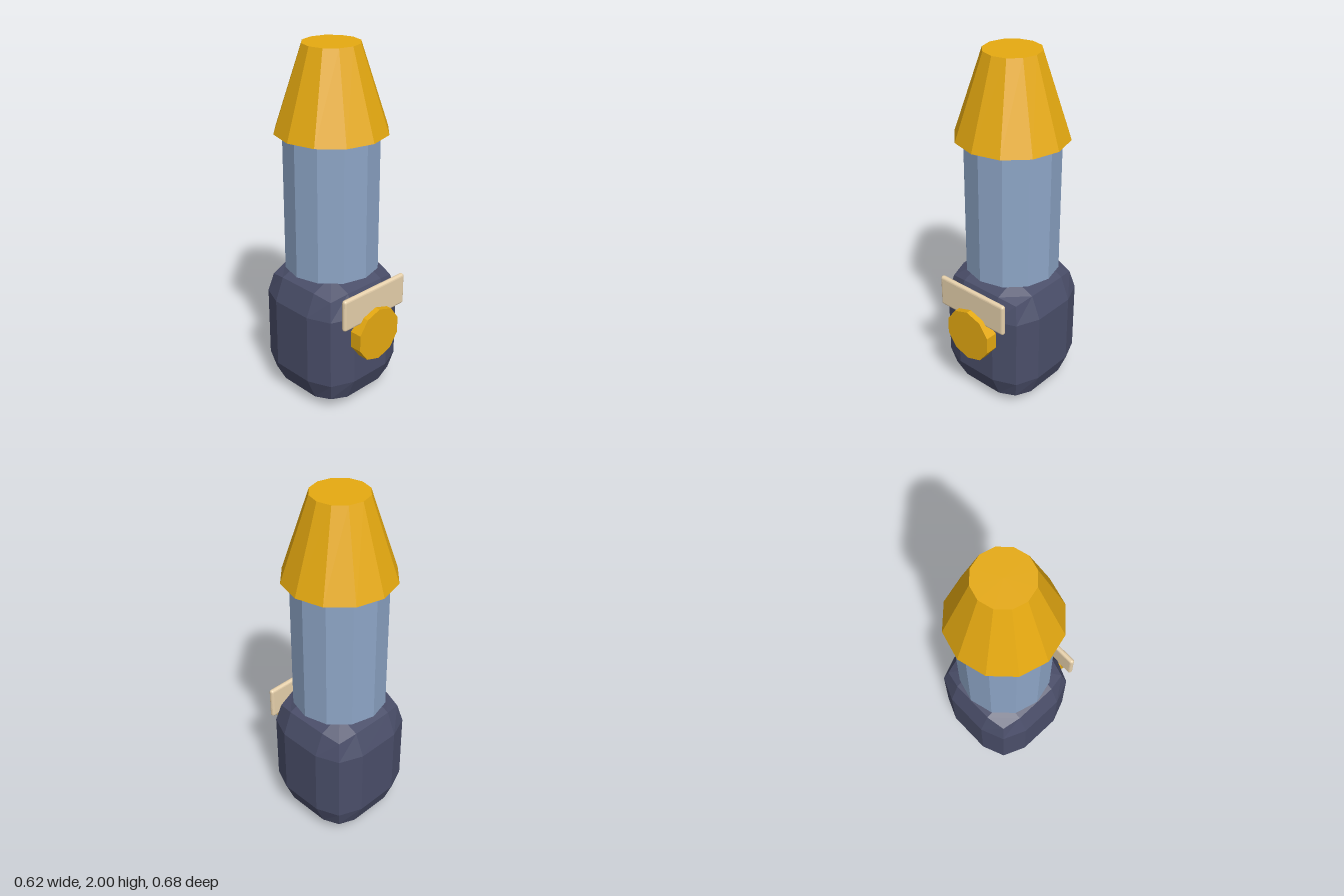
import * as THREE from 'three';
import { RoundedBoxGeometry } from 'three/addons/geometries/RoundedBoxGeometry.js';

const material = (name, color) => {
  const m = new THREE.MeshStandardMaterial({ color, flatShading: true });
  m.name = name;
  return m;
};

export function createModel() {
  const group = new THREE.Group();
  const navy = material('navy', 0x4a4e69);
  const steel = material('steel blue', 0x8da5c6);
  const amber = material('amber', 0xe6aa11);
  const cream = material('cream', 0xe6d0ab);
  const axisZ = -0.032; // the upright axis sits slightly behind the centre

  const add = (name, geometry, mat, x, y, z) => {
    const mesh = new THREE.Mesh(geometry, mat);
    mesh.name = name;
    mesh.position.set(x, y, z);
    group.add(mesh);
    return mesh;
  };

  // chamfered base block
  add('base', new RoundedBoxGeometry(0.615, 0.77, 0.615, 1, 0.182), navy, 0, 0.385, axisZ);

  // twelve-sided barrel and tapered nozzle
  add('barrel', new THREE.CylinderGeometry(0.262, 0.262, 0.77, 12), steel, 0, 1.155, axisZ);
  add('nozzle', new THREE.CylinderGeometry(0.154, 0.307, 0.46, 12), amber, 0, 1.77, axisZ);

  // ten-sided front knob, a corner pointing up
  const knob = new THREE.CylinderGeometry(0.154, 0.154, 0.138, 10);
  knob.rotateY(Math.PI).rotateX(Math.PI / 2);
  add('knob', knob, amber, 0, 0.465, 0.269);

  // thin label plate above the knob
  add('plate', new RoundedBoxGeometry(0.46, 0.185, 0.03, 2, 0.0145), cream, 0, 0.648, 0.291);

  return group;
}
